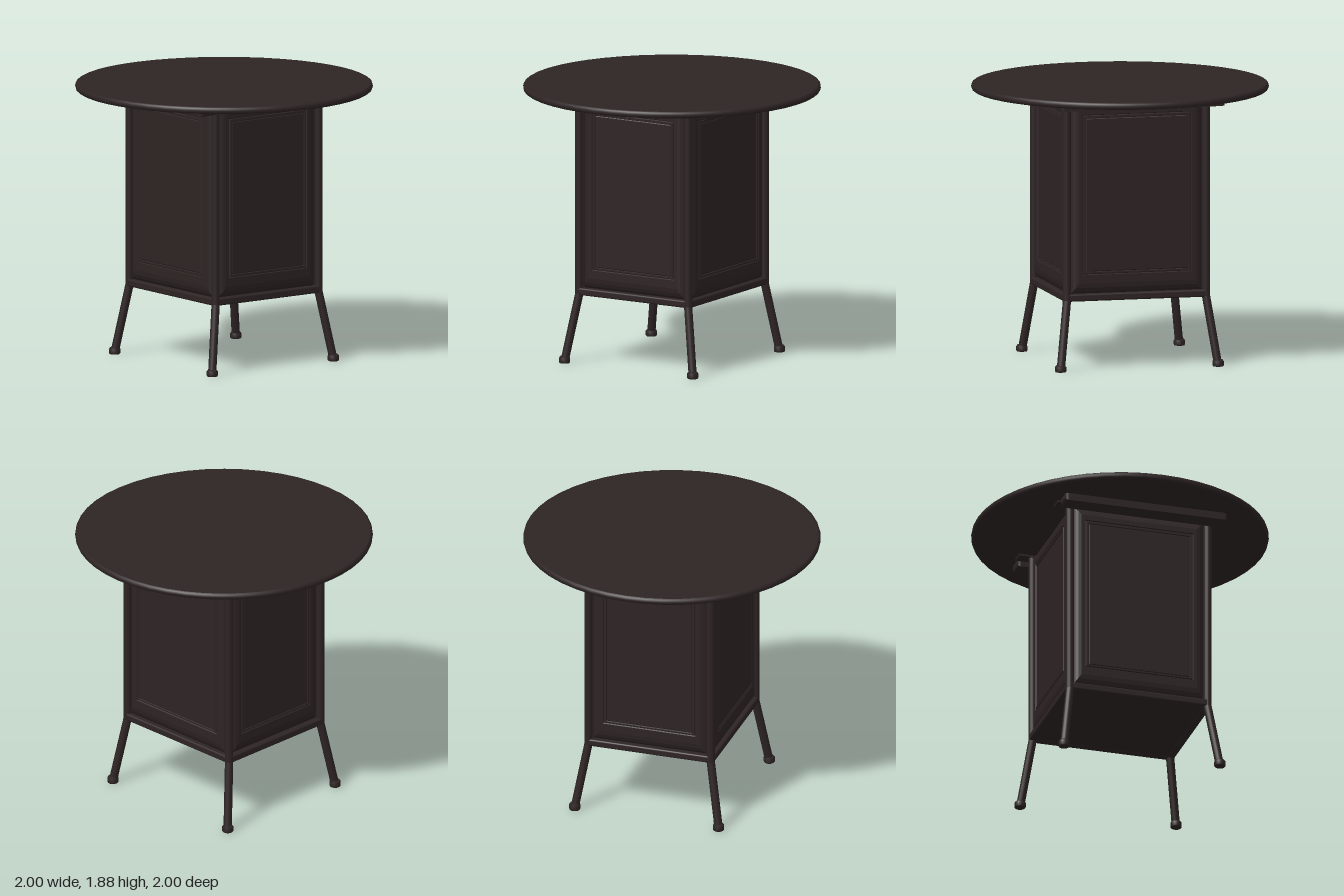
import * as THREE from 'three';
import { RoundedBoxGeometry } from 'three/addons/geometries/RoundedBoxGeometry.js';

const wood = new THREE.MeshStandardMaterial({ color: 0x2e2424 });
wood.name = 'dark brown';

const PX = 0.432, PZ = 0.483; // post centre lines
const FLOOR = 0.465, TOP = 1.83;

function part(name, geometry, parent, x = 0, y = 0, z = 0) {
  const mesh = new THREE.Mesh(geometry, wood);
  mesh.name = name;
  mesh.position.set(x, y, z);
  parent.add(mesh);
  return mesh;
}

// Round bar between two points
function bar(name, a, b, r, parent) {
  const dir = b.clone().sub(a);
  const mesh = part(name, new THREE.CylinderGeometry(r, r, dir.length(), 16), parent);
  mesh.position.copy(a).add(b).multiplyScalar(0.5);
  mesh.quaternion.setFromUnitVectors(new THREE.Vector3(0, 1, 0), dir.normalize());
}

// Pillowed panel with a moulded frame, made of nested rectangles.
// Each loop is [half width, bottom, top, depth].
function panelGeometry(w) {
  const loops = [
    [w, 0.515, 1.82, -0.04], [w, 0.515, 1.82, -0.03], [w - 0.012, 0.53, 1.81, -0.016],
    [w - 0.03, 0.555, 1.79, -0.005], [w - 0.05, 0.585, 1.765, 0],
    [w - 0.075, 0.642, 1.73, 0], [w - 0.08, 0.647, 1.725, -0.007],
    [w - 0.085, 0.652, 1.72, 0], [w - 0.098, 0.661, 1.707, 0],
    [w - 0.102, 0.665, 1.703, -0.007], [w - 0.107, 0.67, 1.698, -0.003],
  ];
  const rects = loops.map(([h, b, t, d]) => [[-h, b, d], [h, b, d], [h, t, d], [-h, t, d]]);
  const pos = [];
  const quad = (a, b, c, d) => pos.push(...a, ...b, ...c, ...a, ...c, ...d);
  for (let i = 0; i < rects.length - 1; i++) {
    for (let k = 0; k < 4; k++) {
      const n = (k + 1) % 4;
      quad(rects[i][k], rects[i][n], rects[i + 1][n], rects[i + 1][k]);
    }
  }
  quad(...rects[rects.length - 1]);
  quad(...rects[0].slice().reverse());
  const g = new THREE.BufferGeometry();
  g.setAttribute('position', new THREE.Float32BufferAttribute(pos, 3));
  g.computeVertexNormals();
  return g;
}

export function createModel() {
  const model = new THREE.Group();
  model.name = 'roundTable';

  // Round top with a softened rim
  const rim = [[0, 1.83], [0.985, 1.83], [0.985, 1.83], [0.996, 1.837], [1, 1.852],
    [0.996, 1.868], [0.985, 1.875], [0.985, 1.875], [0, 1.875]];
  part('tableTop', new THREE.LatheGeometry(rim.map(([x, y]) => new THREE.Vector2(x, y)), 48), model);

  // Corner posts, splayed legs, feet and top brackets
  const footProfile = [[0, 0], [0.034, 0], [0.038, 0.006], [0.038, 0.034], [0.03, 0.045], [0, 0.047]]
    .map(([x, y]) => new THREE.Vector2(x, y));
  for (const sx of [-1, 1]) {
    for (const sz of [-1, 1]) {
      const corner = new THREE.Group();
      corner.name = 'cornerLeg';
      model.add(corner);
      const knee = new THREE.Vector3(sx * PX, 0.47, sz * PZ);
      bar('post', knee, new THREE.Vector3(sx * PX, TOP, sz * PZ), 0.028, corner);
      bar('leg', new THREE.Vector3(sx * 0.507, 0.02, sz * 0.545), knee, 0.028, corner);
      part('knee', new THREE.SphereGeometry(0.028, 16, 10), corner, knee.x, knee.y, knee.z);
      part('foot', new THREE.LatheGeometry(footProfile, 20), corner, sx * 0.508, 0, sz * 0.547);
      part('bracket', new THREE.BoxGeometry(0.09, 0.014, 0.14), corner, sx * 0.445, 1.824, sz * 0.515);
    }
  }

  // Cabinet panels and bottom rails
  const frontPanel = panelGeometry(0.402), sidePanel = panelGeometry(0.455);
  for (const s of [-1, 1]) {
    part(s > 0 ? 'frontPanel' : 'backPanel', frontPanel, model, 0, 0, s * 0.495)
      .rotation.y = s > 0 ? 0 : Math.PI;
    part(s > 0 ? 'leftPanel' : 'rightPanel', sidePanel, model, s * 0.45, 0, 0)
      .rotation.y = s * Math.PI / 2;
    part('crossRail', new RoundedBoxGeometry(PX * 2, 0.05, 0.052, 3, 0.012), model, 0, FLOOR + 0.025, s * PZ);
    part('sideRail', new RoundedBoxGeometry(0.052, 0.05, PZ * 2, 3, 0.012), model, s * PX, FLOOR + 0.025, 0);

    // Chamfered runner under the top
    const section = new THREE.Shape([[-0.05, 0], [0.05, 0], [0.05, 0.05], [-0.05, 0.05]]
      .map(([x, y]) => new THREE.Vector2(x, y)));
    const runner = new THREE.ExtrudeGeometry(section, {
      depth: 1.1, bevelThickness: 0.018, bevelSize: 0.015, bevelSegments: 2,
    });
    part('runner', runner, model, s * 0.553, 1.795, -0.55);
  }

  // Cabinet floor
  part('cabinetFloor', new THREE.BoxGeometry(PX * 2, 0.02, PZ * 2), model, 0, 0.482, 0);

  return model;
}
